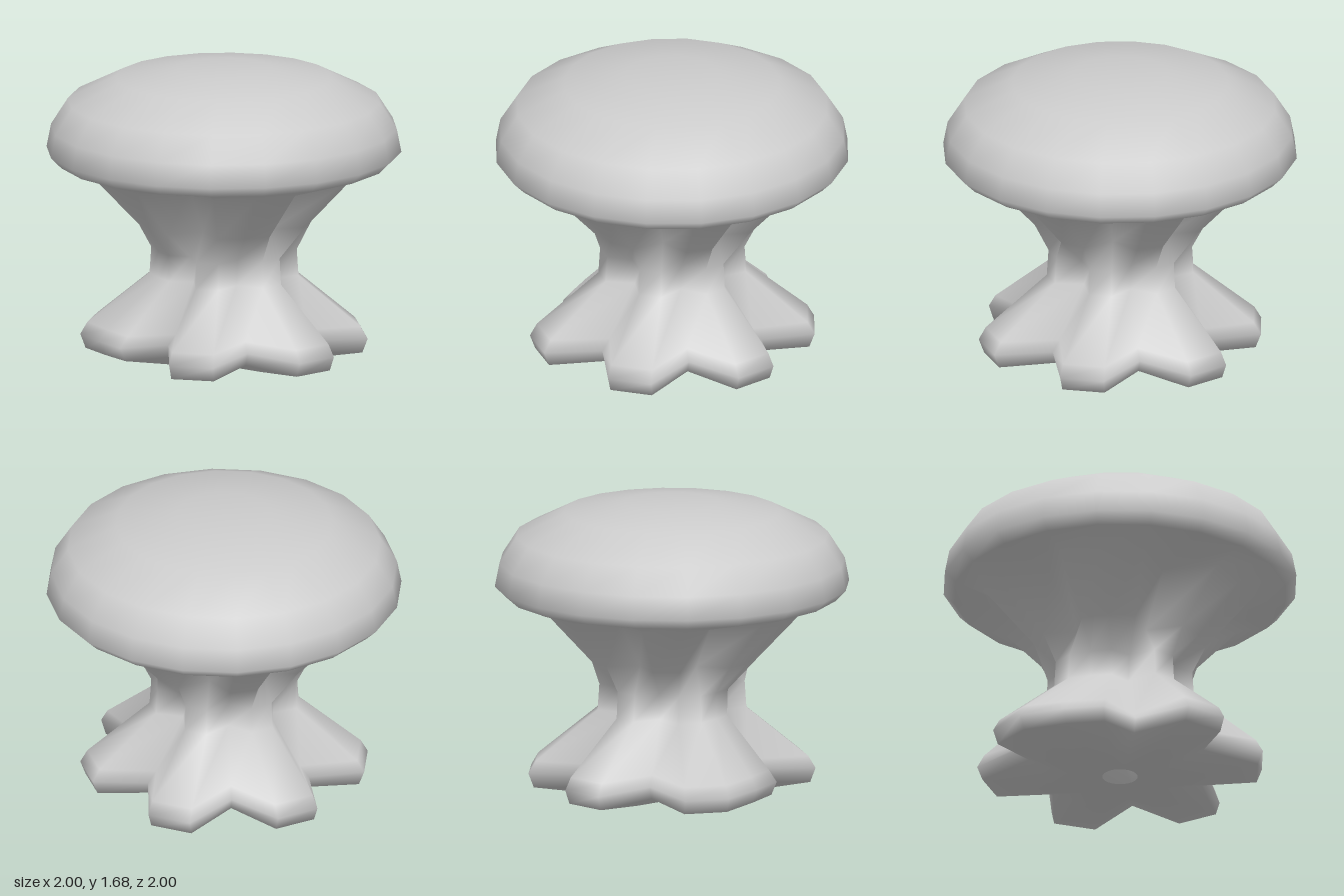
import * as THREE from 'three';

const SIDES = 20;

// How far each of the 20 radial columns follows a ridge (1) or a groove (0).
// The grooves between the feet are offset from those under the seat.
const FEET = [0, 1, 1, 0, 1, 0.95, 0, 1, 1, 0, 0.95, 1, 0, 1, 1, 0.65, 0.5, -0.3, 1, 1];
const NECK = [1, 1, 0, 1, 1, 0, 1, 1, 0, 1, 1, 0, 1, 1, 0, 1, 1, 1, -0.3, 1];

// Rings from bottom to top: [height, groove radius, ridge radius, flutes, groove lift]
const RINGS = [
  [0.02, 0.1, 0.1, FEET, 0],
  [0.0, 0.3, 0.38, FEET, 0.015],
  [0.05, 0.52, 0.78, FEET, 0.03],
  [0.13, 0.56, 0.81, FEET, 0.025],
  [0.2, 0.5, 0.77, FEET, 0.01],
  [0.49, 0.3, 0.42, FEET, 0],
  [0.64, 0.32, 0.41, FEET, 0],
  [0.8, 0.35, 0.49, NECK, 0],
  [1.09, 0.57, 0.76, NECK, 0],
  [1.15, 0.94, 0.94, NECK, 0],
  [1.21, 1.0, 1.0, NECK, 0],
  [1.34, 0.975, 0.975, NECK, 0],
  [1.49, 0.88, 0.88, NECK, 0],
  [1.625, 0.61, 0.61, NECK, 0],
  [1.675, 0.27, 0.27, NECK, 0],
];

// Skin closed rings into one smooth surface, with a centre point on top
function skinRings(rings, topY) {
  const pos = [], index = [];
  for (const [y, groove, ridge, flutes, lift] of rings) {
    for (let k = 0; k < SIDES; k++) {
      const a = (k / SIDES) * Math.PI * 2;
      const r = groove + (ridge - groove) * flutes[k];
      pos.push(r * Math.sin(a), y + lift * (1 - flutes[k]), r * Math.cos(a));
    }
  }
  const last = (rings.length - 1) * SIDES;
  const top = pos.length / 3;
  pos.push(0, topY, 0);
  for (let k = 0; k < SIDES; k++) {
    const n = (k + 1) % SIDES;
    for (let i = 0; i < last; i += SIDES) {
      index.push(i + k, i + n, i + SIDES + n, i + k, i + SIDES + n, i + SIDES + k);
    }
    index.push(last + k, last + n, top);
  }
  const geo = new THREE.BufferGeometry();
  geo.setAttribute('position', new THREE.Float32BufferAttribute(pos, 3));
  geo.setIndex(index);
  geo.computeVertexNormals();
  return geo;
}

export function createModel() {
  const group = new THREE.Group();
  group.name = 'stool';
  // Hollow one-piece body: fluted feet, narrow waist, round seat; small hole underneath
  const body = new THREE.Mesh(
    skinRings(RINGS, 1.677),
    new THREE.MeshStandardMaterial({ color: 0xcccccc, side: THREE.DoubleSide })
  );
  body.name = 'seatAndFlutedBase';
  group.add(body);
  return group;
}
